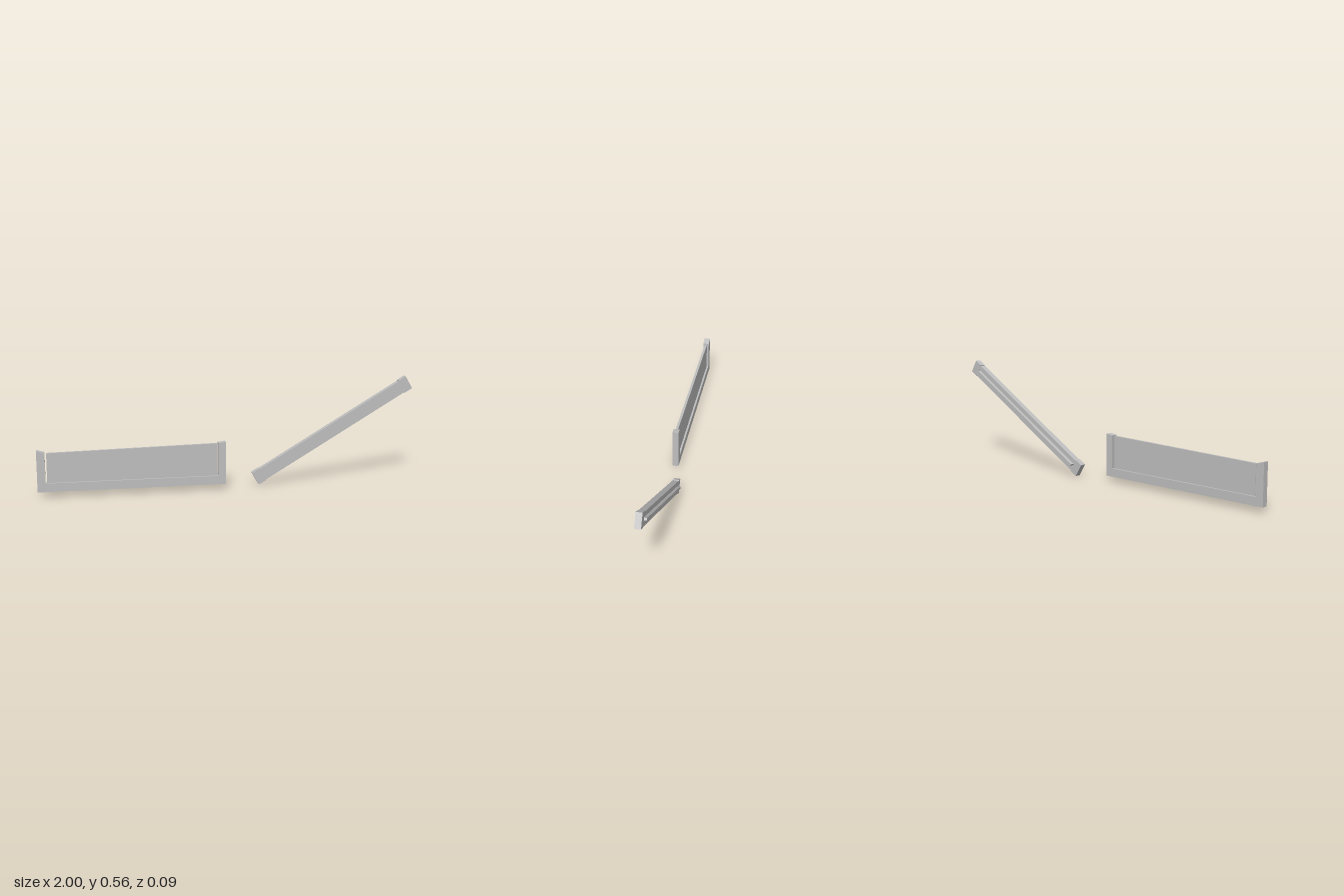
import * as THREE from 'three';

export function createModel() {
  const model = new THREE.Group();
  const grey = new THREE.MeshStandardMaterial({ color: 0xbfbfbf });
  grey.name = 'light grey';

  function add(parent, name, geometry) {
    const mesh = new THREE.Mesh(geometry, grey);
    mesh.name = name;
    parent.add(mesh);
    return mesh;
  }

  // Straight-sided plate from an outline in x and y, between two depths
  function plate(parent, name, points, z0, z1) {
    const shape = new THREE.Shape(points.map(([x, y]) => new THREE.Vector2(x, y)));
    const geometry = new THREE.ExtrudeGeometry(shape, { depth: z1 - z0, bevelEnabled: false });
    geometry.translate(0, 0, z0);
    return add(parent, name, geometry);
  }

  function box(parent, name, x0, x1, y0, y1, z0, z1) {
    const geometry = new THREE.BoxGeometry(x1 - x0, y1 - y0, z1 - z0);
    geometry.translate((x0 + x1) / 2, (y0 + y1) / 2, (z0 + z1) / 2);
    return add(parent, name, geometry);
  }

  // Upright frame: sloped posts, a bottom rail and a thin panel
  const upright = new THREE.Group();
  upright.name = 'uprightFrame';
  model.add(upright);
  const back = 0.011, front = 0.044, base = 0.027;
  plate(upright, 'outerPost',
    [[-1, base], [-0.958, base], [-0.958, 0.231], [-1, 0.243]], back, front);
  plate(upright, 'innerPost',
    [[-0.064, base], [-0.026, base], [-0.026, 0.253], [-0.064, 0.248]], back, front);
  box(upright, 'bottomRail', -0.958, -0.064, base, 0.072, back, front);
  plate(upright, 'uprightPanel',
    [[-0.95, 0.06], [-0.071, 0.06], [-0.071, 0.245], [-0.95, 0.228]], 0.021, 0.034);

  // Tilted bar: end caps, a grooved rail and a tongue out of the back
  const bar = new THREE.Group();
  bar.name = 'tiltedBar';
  bar.position.set(0.56, 0.283, 0);
  bar.rotation.z = Math.atan2(0.498, 0.837);
  model.add(bar);
  const half = 0.4865, inner = 0.441, zBack = -0.029, zFront = 0.002;
  for (const side of [-1, 1]) {
    const [x0, x1] = [side * inner, side * half].sort((a, b) => a - b);
    box(bar, 'endCap', x0, x1, -0.038, 0.038, zBack, zFront);
    const [y0, y1] = [side * 0.01, side * 0.034].sort((a, b) => a - b);
    box(bar, 'railLip', -inner, inner, y0, y1, zBack, -0.014);
  }
  box(bar, 'railFace', -inner, inner, -0.034, 0.034, -0.014, zFront);
  box(bar, 'tongue', -0.435, 0.435, -0.006, 0.006, -0.042, -0.014);

  return model;
}
